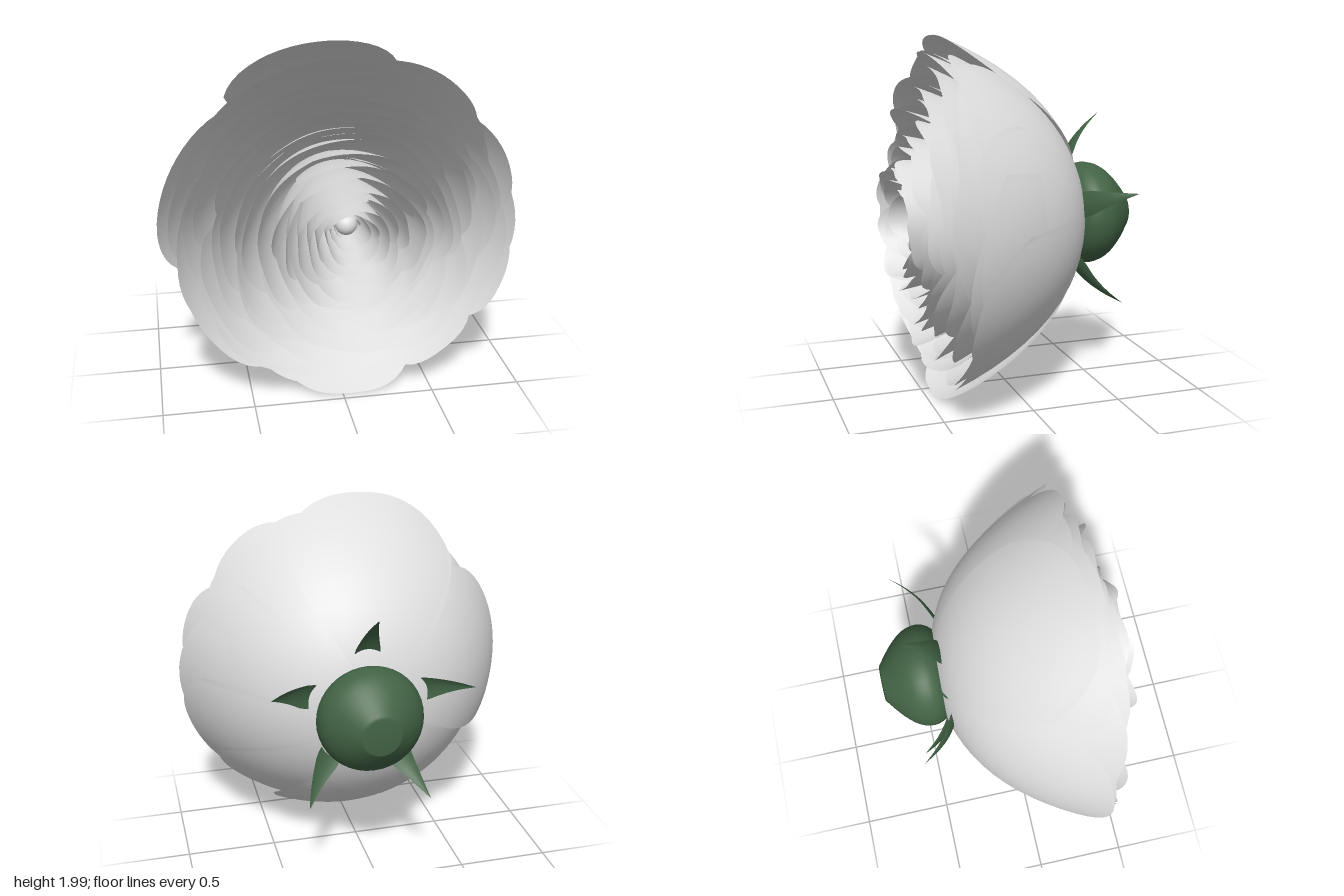
import * as THREE from 'three';

const petalWhite = new THREE.MeshStandardMaterial({ color: 0xe0e0e0, side: THREE.DoubleSide });
petalWhite.name = 'petalWhite';
const leafGreen = new THREE.MeshStandardMaterial({ color: 0x426345, side: THREE.DoubleSide });
leafGreen.name = 'leafGreen';

let seed = 7;
const rand = () => (seed = (seed * 16807) % 2147483647) / 2147483647;
const rad = THREE.MathUtils.degToRad;

// Smooth patch from a rule point(u, v), with u in -1..1 and v in 0..1
function patch(nu, nv, point) {
  const pos = [], index = [];
  for (let j = 0; j <= nv; j++) {
    for (let i = 0; i <= nu; i++) pos.push(...point((i / nu) * 2 - 1, j / nv));
  }
  for (let j = 0; j < nv; j++) {
    for (let i = 0; i < nu; i++) {
      const a = j * (nu + 1) + i, b = a + nu + 1;
      index.push(a, a + 1, b, a + 1, b + 1, b);
    }
  }
  const g = new THREE.BufferGeometry();
  g.setAttribute('position', new THREE.Float32BufferAttribute(pos, 3));
  g.setIndex(index);
  g.computeVertexNormals();
  return g;
}

// Cupped petal on a bowl profile around the z axis
function petal({ angle, half, R, Z, base, round, ruffle, phase, belly }) {
  const geo = patch(20, 14, (u, v) => {
    const s = v * (1 - round * Math.pow(Math.abs(u), 3));
    const q = 1 - s;
    const r0 = Math.min(0.05, R * 0.5);
    let r = q * q * r0 + 2 * q * s * R * belly + s * s * R;
    const z = q * q * base + 2 * q * s * (base + 0.02) + s * s * Z;
    // one edge tucks under the next petal
    r *= 1 + 0.02 * u * s;
    const wave = ruffle * Math.pow(s, 5) * Math.sin(u * 4 + phase);
    r += wave * 0.5;
    const a = angle + u * half * (0.75 + 0.25 * Math.sin(Math.PI * v * 0.75));
    return [r * Math.cos(a), r * Math.sin(a), z + wave];
  });
  return new THREE.Mesh(geo, petalWhite);
}

// Height of the petal rims as a function of their radius
const rimCurve = [[0.05, 0.32], [0.1, 0.46], [0.15, 0.57], [0.2, 0.63], [0.28, 0.655], [0.35, 0.625], [0.45, 0.585], [0.6, 0.545], [0.8, 0.49], [0.9, 0.44], [1, 0.36]];
function rimHeight(r) {
  const k = Math.max(1, rimCurve.findIndex(p => p[0] >= r));
  const [r0, z0] = rimCurve[k - 1], [r1, z1] = rimCurve[k];
  return z0 + (z1 - z0) * (r - r0) / (r1 - r0);
}

function createPetals() {
  const flower = new THREE.Group();
  flower.name = 'petals';
  flower.position.y = 0.99;

  // Large guard petals: angle, half width, rim radius, rim z
  const guards = [
    [98, 36, 1.01, 0.38], [52, 28, 0.955, 0.41], [18, 28, 0.945, 0.42], [336, 30, 0.965, 0.44],
    [306, 28, 0.96, 0.44], [273, 32, 0.99, 0.46], [222, 38, 0.945, 0.4], [168, 38, 0.965, 0.36]
  ];
  guards.forEach(([deg, half, R, Z], i) => {
    const m = petal({ angle: rad(deg), half: rad(half), R, Z, base: -0.415, round: 0.2, ruffle: 0.008, phase: i, belly: 0.68 });
    m.name = 'guardPetal';
    flower.add(m);
  });

  // Nested rings of inner petals, flaring outside and steep in the middle
  const rings = [0.925, 0.89, 0.845, 0.79, 0.73, 0.67, 0.61, 0.55, 0.485, 0.42, 0.36, 0.3, 0.245, 0.19, 0.14, 0.1, 0.07];
  rings.forEach((R, i) => {
    const ring = new THREE.Group();
    ring.name = 'petalRing';
    const f = i / (rings.length - 1);
    ring.position.set(0.035 * f, -0.012 * f, 0);
    const n = R > 0.6 ? 7 : R > 0.25 ? 6 : 4;
    for (let k = 0; k < n; k++) {
      const m = petal({
        angle: i * 2.4 + (k + 0.3 * (rand() - 0.5)) * 2 * Math.PI / n,
        half: Math.PI / n * 1.35,
        R: R * (1 + 0.045 * (rand() - 0.5)),
        Z: rimHeight(R) + 0.075 * (rand() - 0.5),
        base: -0.39 + 0.025 * i,
        round: 0.09,
        ruffle: 0.02 * Math.min(1, R * 2),
        phase: rand() * 6,
        belly: i < 2 ? 0.67 : 0.6 + 0.25 * f * f
      });
      m.name = 'innerPetal';
      ring.add(m);
    }
    flower.add(ring);
  });

  // Round bud in the middle
  const bud = new THREE.Mesh(new THREE.SphereGeometry(0.06, 24, 16), petalWhite);
  bud.name = 'bud';
  bud.position.set(0.035, -0.012, 0.32);
  flower.add(bud);
  return flower;
}

function createCalyx() {
  const calyx = new THREE.Group();
  calyx.name = 'calyx';
  calyx.position.set(0.04, 0.98, 0);

  // Rounded green base, cut flat at the stem
  const profile = new THREE.SplineCurve([[0.24, -0.37], [0.275, -0.41], [0.29, -0.47], [0.268, -0.55], [0.2, -0.63], [0.1, -0.71]]
    .map(p => new THREE.Vector2(...p))).getPoints(24);
  profile.push(new THREE.Vector2(0, -0.711));
  const cup = new THREE.Mesh(new THREE.LatheGeometry(profile, 40).rotateX(Math.PI / 2), leafGreen);
  cup.name = 'calyxCup';
  calyx.add(cup);

  // Five sepals curling backwards out of the petals
  const path = new THREE.CatmullRomCurve3([[0.31, -0.34], [0.37, -0.37], [0.44, -0.415], [0.51, -0.48], [0.575, -0.56]]
    .map(([r, z]) => new THREE.Vector3(r, 0, z)));
  const sepalGeo = patch(8, 16, (u, v) => {
    const p = path.getPoint(v);
    const w = 0.088 * (1 - v) * (0.8 + 0.2 * Math.min(1, v * 4));
    const fold = 0.25 * w * u * u;
    return [p.x - fold * 0.5, u * w, p.z - fold * 0.6];
  });
  for (let k = 0; k < 5; k++) {
    const sepal = new THREE.Mesh(sepalGeo, leafGreen);
    sepal.name = 'sepal';
    sepal.rotation.z = rad(92 + 72 * k);
    calyx.add(sepal);
  }
  return calyx;
}

export function createModel() {
  const model = new THREE.Group();
  model.name = 'flower';
  model.add(createPetals(), createCalyx());
  return model;
}
